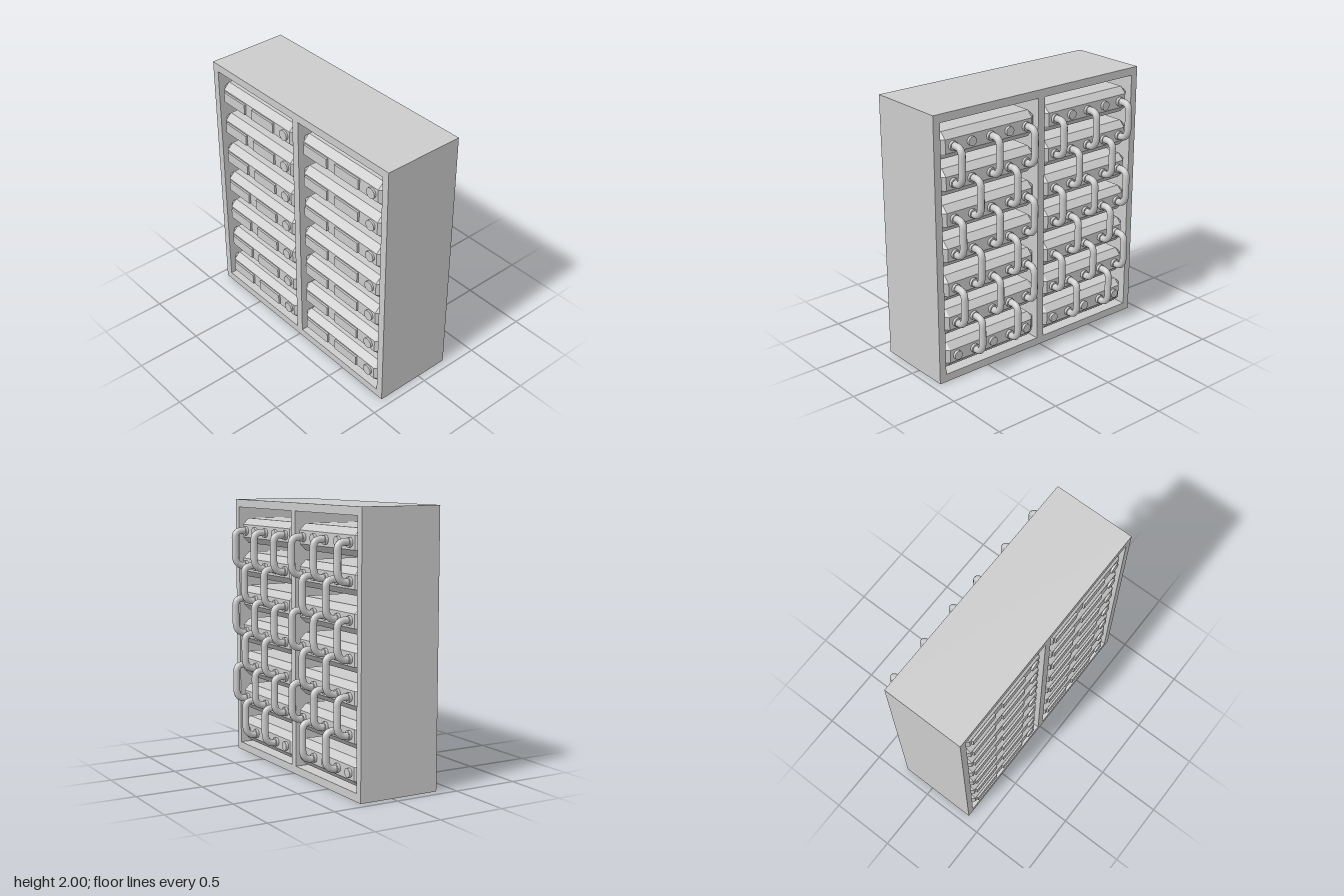
import * as THREE from 'three';
import { ConvexGeometry } from 'three/addons/geometries/ConvexGeometry.js';

const flat = new THREE.MeshStandardMaterial({ color: 0xcccccc, flatShading: true });
const smooth = new THREE.MeshStandardMaterial({ color: 0xcccccc });

// Box with every edge bevelled by c
function bevelledBox(hx, hy, hz, c) {
  const pts = [];
  for (const x of [-1, 1]) for (const y of [-1, 1]) for (const z of [-1, 1]) {
    pts.push(new THREE.Vector3(x * hx, y * (hy - c), z * (hz - c)));
    pts.push(new THREE.Vector3(x * (hx - c), y * hy, z * (hz - c)));
    pts.push(new THREE.Vector3(x * (hx - c), y * (hy - c), z * hz));
  }
  return new ConvexGeometry(pts);
}

// Case: outline with two openings, pushed along x
function caseGeometry() {
  const rect = (s, x0, y0, x1, y1) =>
    s.moveTo(x0, y0).lineTo(x1, y0).lineTo(x1, y1).lineTo(x0, y1).closePath();
  const shape = new THREE.Shape();
  rect(shape, -0.935, 0, 0.935, 2);
  for (const [a, b] of [[-0.88, -0.03], [0.03, 0.88]]) {
    const hole = new THREE.Path();
    rect(hole, a, 0.06, b, 1.94);
    shape.holes.push(hole);
  }
  const g = new THREE.ExtrudeGeometry(shape, { depth: 0.625, bevelEnabled: false });
  return g.rotateY(Math.PI / 2).translate(-0.37, 0, 0);
}

// Bent link joining a bar at y = 0 to the one below it
function linkGeometry(pitch) {
  const v = (x, y) => new THREE.Vector3(x, y, 0);
  const path = new THREE.CurvePath();
  const top = 0.004, low = -pitch - 0.004, out = 0.344;
  path.add(new THREE.LineCurve3(v(0.23, top), v(0.29, top)));
  path.add(new THREE.QuadraticBezierCurve3(v(0.29, top), v(out, top), v(out, top - 0.055)));
  path.add(new THREE.LineCurve3(v(out, top - 0.055), v(out, low + 0.085)));
  path.add(new THREE.QuadraticBezierCurve3(v(out, low + 0.085), v(out, low), v(0.27, low)));
  path.add(new THREE.LineCurve3(v(0.27, low), v(0.23, low)));
  return new THREE.TubeGeometry(path, 40, 0.026, 12);
}

export function createModel() {
  const model = new THREE.Group();
  const add = (name, geo, mat, x, y, z) => {
    const m = new THREE.Mesh(geo, mat);
    m.name = name;
    m.position.set(x, y, z);
    model.add(m);
  };

  const rows = 7, pitch = 0.263, topY = 1.758;
  const slots = [0.135, 0.29, 0.45, 0.617, 0.772];
  const bar = bevelledBox(0.302, 0.0975, 0.425, 0.048);
  const link = linkGeometry(pitch);
  const collar = new THREE.CylinderGeometry(0.034, 0.034, 0.03, 16).rotateZ(Math.PI / 2);
  const disc = new THREE.CylinderGeometry(0.04, 0.04, 0.03, 20).rotateZ(Math.PI / 2);
  const plate = new THREE.BoxGeometry(0.03, 0.08, 0.24);

  add('case', caseGeometry(), flat, 0, 0, 0);

  for (const side of [-1, 1]) {
    // slot positions ordered from the +z end of the column
    const zs = slots.map(s => s * side).sort((a, b) => b - a);
    for (let r = 0; r < rows; r++) {
      const y = topY - r * pitch;
      add('bar', bar, flat, -0.058, y, side * 0.455);
      for (const z of zs) add('terminalCollar', collar, smooth, 0.25, y, z);

      // rear contacts: one round end contact and two joining plates
      add('rearContact', disc, smooth, -0.36, y, zs[0]);
      for (const i of [1, 3]) add('rearPlate', plate, flat, -0.36, y, (zs[i] + zs[i + 1]) / 2);

      // links alternate between three and two per row
      if (r < rows - 1) zs.forEach((z, i) => {
        if (i % 2 === r % 2) add('link', link, smooth, 0, y, z);
      });
    }
  }
  return model;
}
